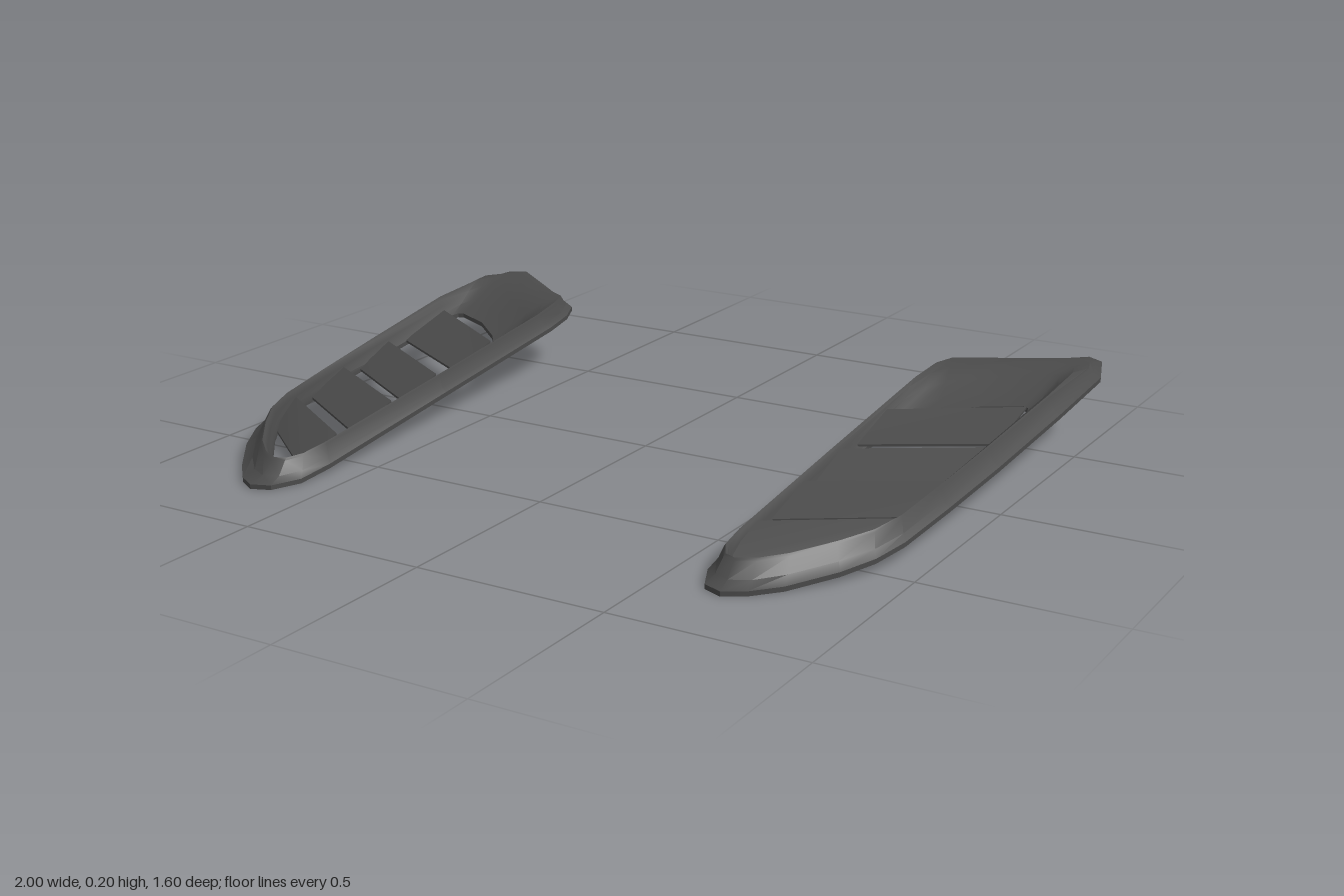
import * as THREE from 'three';
import { toCreasedNormals } from 'three/addons/utils/BufferGeometryUtils.js';

// Sloping plane the vents rest on, and the limit of the crest toward the rear
const base = z => Math.max(0, 0.082 - 0.115 * z);
const cap = z => 0.2 - Math.max(0, -z - 0.6) * 0.08;

// Plan of the frame, clockwise from the rear tip:
// outer edge x, z | raised crest x, z | opening x, z
const PLAN = [
  [0.92, -0.80, 0.915, -0.745, 0.885, -0.415],
  [0.965, -0.775, 0.945, -0.725, 0.90, -0.41],
  [1.0, -0.67, 0.968, -0.65, 0.907, -0.39],
  [0.99, -0.40, 0.957, -0.40, 0.912, -0.33],
  [0.97, -0.05, 0.937, -0.05, 0.908, -0.03],
  [0.95, 0.20, 0.92, 0.20, 0.902, 0.20],
  [0.93, 0.40, 0.905, 0.37, 0.892, 0.37],
  [0.905, 0.50, 0.88, 0.46, 0.865, 0.45],
  [0.86, 0.59, 0.83, 0.545, 0.815, 0.53],
  [0.78, 0.70, 0.76, 0.64, 0.745, 0.62],
  [0.72, 0.765, 0.705, 0.69, 0.695, 0.67],
  [0.67, 0.795, 0.66, 0.71, 0.66, 0.69],
  [0.62, 0.775, 0.63, 0.70, 0.64, 0.68],
  [0.585, 0.70, 0.608, 0.66, 0.628, 0.64],
  [0.575, 0.60, 0.60, 0.58, 0.624, 0.57],
  [0.575, 0.10, 0.597, 0.10, 0.622, 0.10],
  [0.575, -0.42, 0.597, -0.38, 0.63, -0.17],
  [0.585, -0.52, 0.607, -0.49, 0.66, -0.25],
  [0.61, -0.585, 0.63, -0.55, 0.70, -0.30],
  [0.76, -0.69, 0.775, -0.645, 0.79, -0.375],
];

// Rings across the frame: [from loop, to loop, blend, height above the base]
const RINGS = [
  [0, 1, 0, 0],        // lower edge
  [0, 1, 0, 0.012],    // thin outer edge
  [0, 1, 0.5, 0.024],  // flange
  [0, 1, 0.9, 0.055],  // outer wall
  [1, 2, 0, 0.06],     // crest
  [1, 2, 0.25, 0.055], // scoop falling to the opening
  [1, 2, 0.5, 0.04],
  [1, 2, 0.75, 0.022],
  [1, 2, 1, 0.012],
  [1, 2, 1, 0],        // lip of the opening
];

function frameGeometry() {
  const pos = [], idx = [], n = PLAN.length;
  for (const [a, b, t, h] of RINGS) {
    for (const p of PLAN) {
      const x = THREE.MathUtils.lerp(p[a * 2], p[b * 2], t);
      const z = THREE.MathUtils.lerp(p[a * 2 + 1], p[b * 2 + 1], t);
      pos.push(x, Math.min(base(z) + h, cap(z)), z);
    }
  }
  for (let r = 0; r < RINGS.length - 1; r++) {
    for (let j = 0; j < n; j++) {
      const k = (j + 1) % n, a = r * n, b = a + n;
      idx.push(a + j, b + j, a + k, a + k, b + j, b + k);
    }
  }
  const g = new THREE.BufferGeometry();
  g.setAttribute('position', new THREE.Float32BufferAttribute(pos, 3));
  g.setIndex(idx);
  return toCreasedNormals(g, 0.6);
}

// Slats: [inner rear z, inner front z, outer rear z, outer front z, outer rear x, outer front x]
const SLATS = [
  [-0.17, 0.00, -0.36, -0.17, 0.915, 0.915],
  [0.09, 0.23, -0.09, 0.05, 0.915, 0.91],
  [0.29, 0.45, 0.12, 0.27, 0.91, 0.905],
  [0.52, 0.67, 0.34, 0.47, 0.90, 0.865],
];

// A thin box moved onto the slat corners, high at the rear and low in front
function slatGeometry([ir, inF, or, of, xr, xf]) {
  const { lerp } = THREE.MathUtils;
  const g = new THREE.BoxGeometry(1, 1, 1);
  const p = g.attributes.position;
  const rearY = base(ir) + 0.055;
  for (let i = 0; i < p.count; i++) {
    const u = p.getX(i) + 0.5, v = p.getZ(i) + 0.5;
    const y = rearY - 0.045 * v + 0.004 * u + (p.getY(i) - 0.5) * 0.006;
    p.setXYZ(i, lerp(0.614, lerp(xr, xf, v), u), y, lerp(lerp(ir, inF, v), lerp(or, of, v), u));
  }
  g.computeVertexNormals();
  return g;
}

export function createModel() {
  const model = new THREE.Group();
  model.name = 'hoodVents';
  const material = new THREE.MeshStandardMaterial({ color: 0x4a4a4a, side: THREE.DoubleSide });
  const frame = frameGeometry();
  const slats = SLATS.map(slatGeometry);

  // Left vent and its mirror image
  for (const [side, name] of [[1, 'leftVent'], [-1, 'rightVent']]) {
    const vent = new THREE.Group();
    vent.name = name;
    vent.scale.x = side;
    const rim = new THREE.Mesh(frame, material);
    rim.name = 'frame';
    vent.add(rim);
    slats.forEach((g, i) => {
      const slat = new THREE.Mesh(g, material);
      slat.name = `slat${i + 1}`;
      vent.add(slat);
    });
    model.add(vent);
  }
  return model;
}
